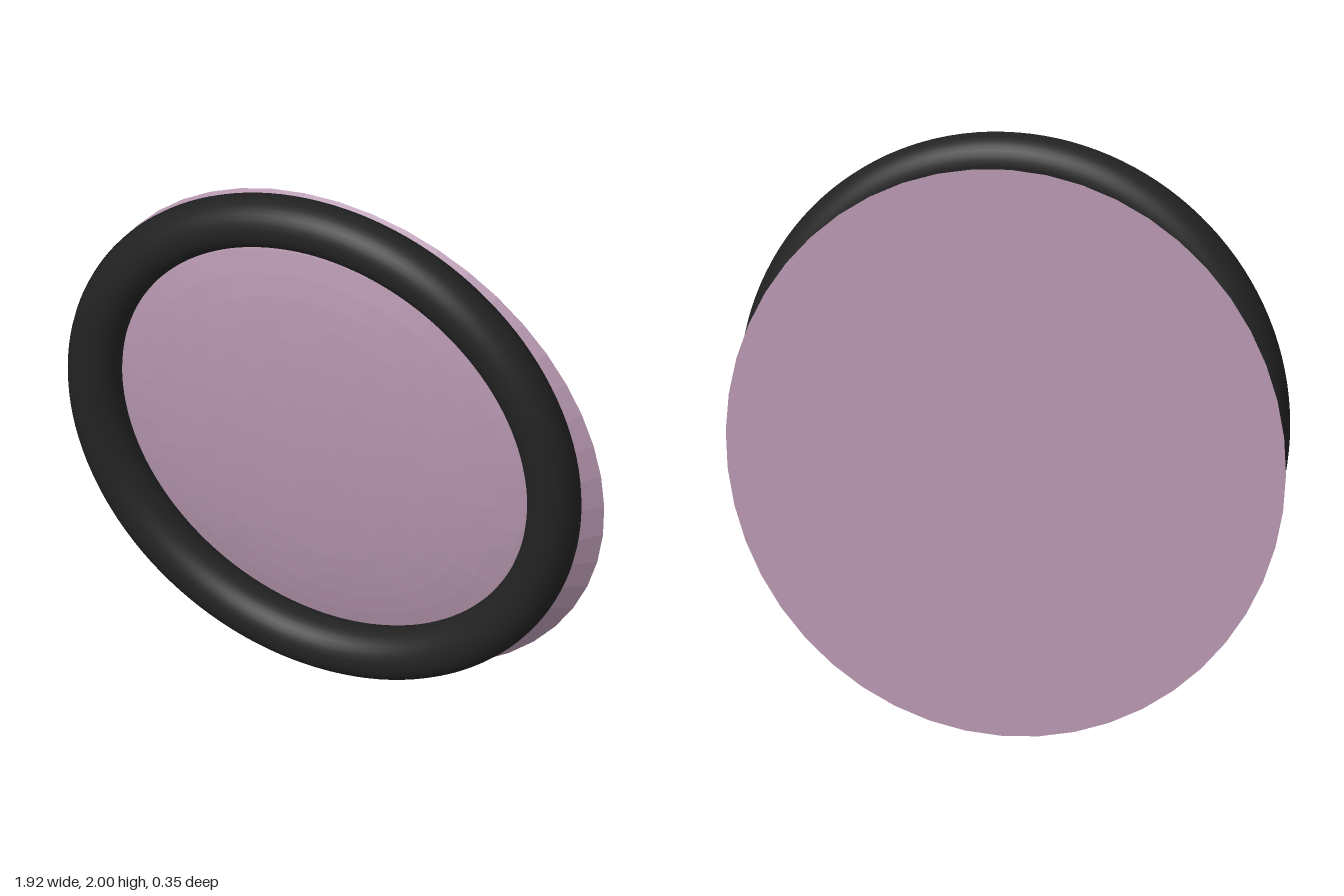
import * as THREE from 'three';

export function createModel() {
  const group = new THREE.Group();

  const mauve = new THREE.MeshStandardMaterial({ color: 0xb596ae, flatShading: true });
  mauve.name = 'mauve';
  const black = new THREE.MeshStandardMaterial({ color: 0x222222 });
  black.name = 'black';

  // Shallow dome with a flat back, slightly tilted behind the ring
  const radius = 0.961, height = 0.22, rings = 12;
  const profile = [new THREE.Vector2(0, 0)];
  for (let i = rings; i >= 0; i--) {
    const t = i / rings;
    profile.push(new THREE.Vector2(radius * t, height * Math.sqrt(1 - t * t)));
  }
  const domeGeometry = new THREE.LatheGeometry(profile, 48);
  domeGeometry.rotateX(Math.PI / 2);
  const dome = new THREE.Mesh(domeGeometry, mauve);
  dome.name = 'domedDisc';
  dome.position.set(0, 0.96, -0.12);
  dome.rotation.set(0.055, -0.018, 0);
  group.add(dome);

  // Round rim in front of the dome
  const rim = new THREE.Mesh(new THREE.TorusGeometry(0.847, 0.09, 32, 128), black);
  rim.name = 'rimRing';
  rim.position.set(0.023, 1.063, 0.085);
  group.add(rim);

  return group;
}
